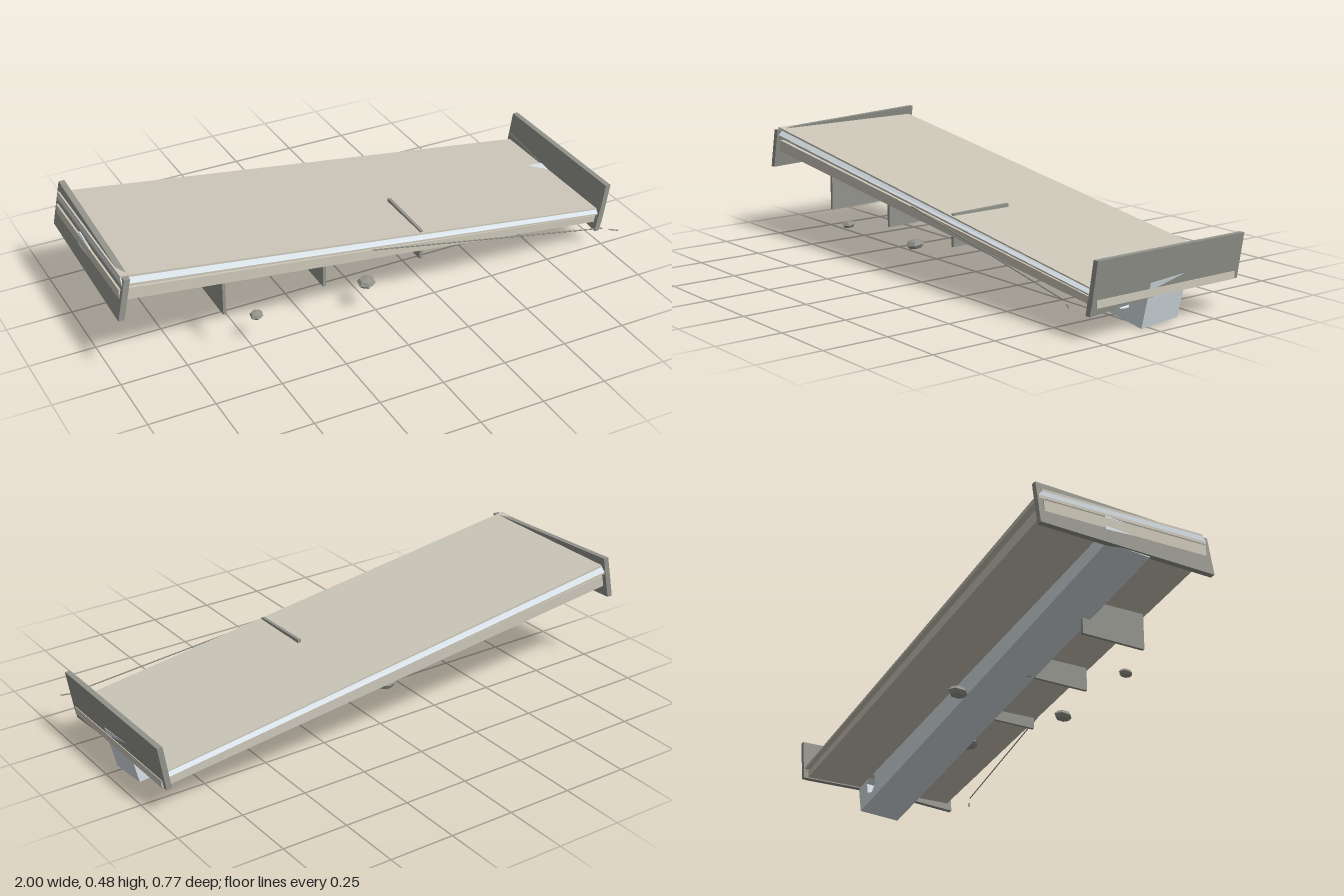
import * as THREE from 'three';

const mat = (name, color) =>
  Object.assign(new THREE.MeshStandardMaterial({ color }), { name });

// Extrude an outline along z, then shift each vertex by a rule
function prismZ(points, z0, z1, rule, hole) {
  const shape = new THREE.Shape(points.map(p => new THREE.Vector2(...p)));
  if (hole) shape.holes.push(new THREE.Path(hole.map(p => new THREE.Vector2(...p))));
  const geo = new THREE.ExtrudeGeometry(shape, { depth: z1 - z0, bevelEnabled: false });
  geo.translate(0, 0, z0);
  return bend(geo, rule);
}

// Extrude a (z, y) outline along x
function prismX(points, x0, x1, rule) {
  const shape = new THREE.Shape(points.map(([z, y]) => new THREE.Vector2(-z, y)));
  const geo = new THREE.ExtrudeGeometry(shape, { depth: x1 - x0, bevelEnabled: false });
  geo.rotateY(Math.PI / 2).translate(x0, 0, 0);
  return bend(geo, rule);
}

function bend(geo, rule) {
  if (!rule) return geo;
  const p = geo.attributes.position, v = new THREE.Vector3();
  for (let i = 0; i < p.count; i++) {
    rule(v.fromBufferAttribute(p, i));
    p.setXYZ(i, v.x, v.y, v.z);
  }
  geo.computeVertexNormals();
  return geo;
}

export function createModel() {
  const group = new THREE.Group();
  const tan = mat('tan panel', 0xcbc6b8);
  const grey = mat('grey plate', 0x93938c);
  const blue = mat('pale blue metal', 0xd6dfe5);
  const dark = mat('dark groove', 0x65655f);
  const add = (name, geo, material) => {
    const mesh = new THREE.Mesh(geo, material);
    mesh.name = name;
    group.add(mesh);
    return mesh;
  };

  // Sloping deck, made of layers between two fractions of its depth;
  // chamfer draws the upper edges inwards
  const layer = (name, a, b, z0, z1, material, x0 = -0.975, x1 = 0.965, chamfer = 0) => {
    const y = (x, f) => {
      const t = (x + 0.96) / 1.91;
      return (0.445 - 0.267 * t) - f * (0.094 - 0.038 * t);
    };
    const outline = [[x0, y(x0, b)], [x1, y(x1, b)], [x1, y(x1, a)], [x0, y(x0, a)]];
    add(name, prismZ(outline, z0, z1, v => {
      if (v.y > y(v.x, (a + b) / 2)) v.z -= Math.sign(v.z) * chamfer;
    }), material);
  };
  layer('deckTop', 0, 0.1, -0.368, 0.258, tan);
  layer('deckChamfer', 0.08, 0.27, -0.382, 0.272, blue, -0.975, 0.965, 0.014);
  layer('deckRail', 0.27, 0.38, -0.38, 0.27, tan);
  layer('deckGroove', 0.38, 0.52, -0.355, 0.245, dark);
  layer('deckBottom', 0.52, 1, -0.366, 0.262, tan, -0.985, 0.978);

  // Tapered beam under the deck, slightly tipped, with a six-sided hole
  const hex = (cx, cy, r) => Array.from({ length: 6 }, (_, i) =>
    [cx + r * Math.cos(i * Math.PI / 3 + 0.3), cy + r * Math.sin(i * Math.PI / 3 + 0.3)]);
  const tip = v => { v.y += 0.08 * (0.03 - v.z); };
  add('beam', prismZ([[-0.99, 0.29], [0.94, 0.001], [0.981, 0.166], [0.85, 0.176], [-0.982, 0.395]],
    -0.135, 0.03, tip, hex(0.845, 0.088, 0.042)), blue);
  add('beamPocket', prismZ([[0.69, 0.075], [0.725, 0.043], [0.758, 0.052], [0.762, 0.115], [0.715, 0.122]],
    0.029, 0.034), grey);

  // Leaning end plates
  add('rightEndPlate', prismX([[0.28, 0.285], [0.28, 0.44], [0.15, 0.45], [-0.385, 0.477], [-0.385, 0.31]],
    -1, -0.978, v => { v.x += 0.2 * (v.y - 0.285); }), grey);
  const lean = v => { v.x += 0.17 * (v.y - 0.12); };
  add('leftEndPlate', prismX([[0.28, 0.117], [0.28, 0.283], [-0.385, 0.283], [-0.385, 0.117]],
    0.95, 0.971, lean), grey);
  add('leftLowerStrip', prismX([[0.28, 0.09], [0.28, 0.145], [-0.38, 0.2], [-0.38, 0.148]],
    0.948, 0.969, lean), grey);

  // Fins hanging below the front edge; the last one rises through the deck
  for (const [x, top] of [[-0.6, 0.34], [-0.21, 0.29], [0.188, 0.297]]) {
    add('fin', prismX([[0.25, 0.17], [0.25, top - 0.006], [0, top], [0, 0.175]],
      x - 0.006, x + 0.006), grey);
  }

  // Loose faceted nuts
  for (const [x, y, z, r] of [[-0.48, 0.131, 0.25, 0.026], [-0.04, 0.137, 0.25, 0.035],
    [-0.055, 0.131, -0.2, 0.038], [0.37, 0.142, 0.06, 0.042]]) {
    const nut = add('nut', new THREE.SphereGeometry(r, 6, 4).toNonIndexed(), grey);
    nut.geometry.scale(1, 0.55, 1);
    nut.geometry.computeVertexNormals();
    nut.position.set(x, y, z);
    nut.rotation.set(0.1, 0.4, 0.1);
  }

  // Thin loose rod with its broken tip
  const rod = (name, a, b) => add(name, new THREE.TubeGeometry(
    new THREE.LineCurve3(new THREE.Vector3(...a), new THREE.Vector3(...b)), 1, 0.0025, 5), grey);
  rod('looseRod', [-0.03, 0.283, 0.272], [0.92, 0.152, 0.355]);
  rod('rodTip', [0.945, 0.144, 0.363], [0.978, 0.14, 0.38]);

  return group;
}
